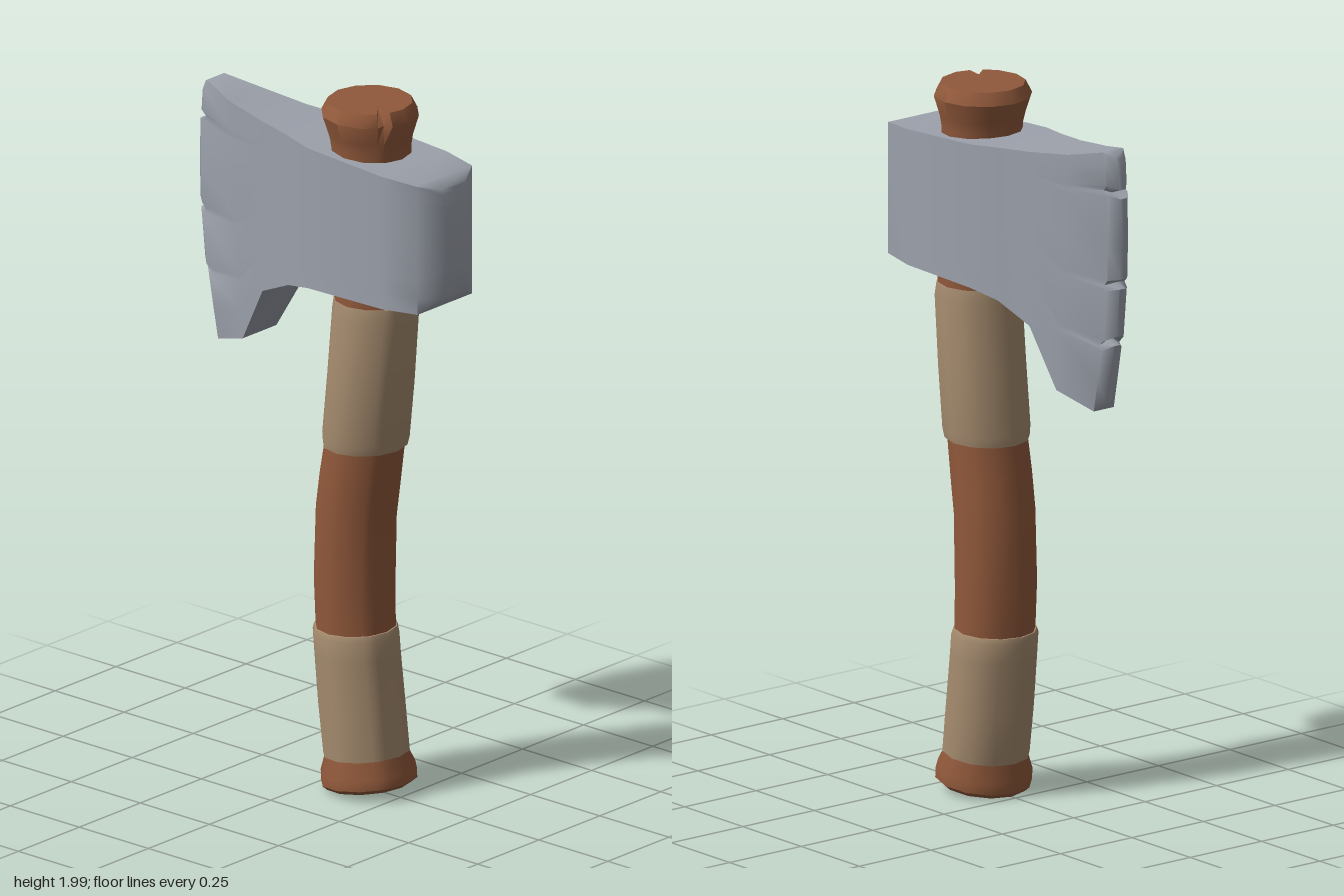
import * as THREE from 'three';
import { toCreasedNormals } from 'three/addons/utils/BufferGeometryUtils.js';

// Skin a list of closed rings (arrays of [x, y, z]) with equal point counts
function loft(rings, crease) {
  const n = rings[0].length, index = [];
  for (let r = 0; r < rings.length - 1; r++) {
    for (let j = 0; j < n; j++) {
      const a = r * n + j, b = r * n + (j + 1) % n, c = a + n, d = b + n;
      index.push(a, c, b, b, c, d);
    }
  }
  const g = new THREE.BufferGeometry();
  g.setAttribute('position', new THREE.Float32BufferAttribute(rings.flat(2), 3));
  g.setIndex(index);
  return toCreasedNormals(g, crease);
}

// Twelve-sided ring; the corner at 30 degrees is split in three so it can be notched
const ANGLES = [0, 21, 30, 39, 60, 90, 120, 150, 180, 210, 240, 270, 300, 330];
function ring([cx, cy, r, slope = 0, notch = 1]) {
  return ANGLES.map((deg) => {
    const a = THREE.MathUtils.degToRad(deg);
    let k = 1;
    if (deg === 21 || deg === 39) k = 0.98;
    if (deg === 30) k = notch;
    const dx = Math.cos(a) * r * k;
    return [cx + dx, cy + slope * dx, Math.sin(a) * r * k];
  });
}

export function createModel() {
  const wood = new THREE.MeshStandardMaterial({ color: 0x91593b });
  wood.name = 'wood';
  const wrap = new THREE.MeshStandardMaterial({ color: 0xa68c6f });
  wrap.name = 'wrap';
  const steel = new THREE.MeshStandardMaterial({ color: 0x9ca1ab });
  steel.name = 'steel';

  const group = new THREE.Group();
  const add = (name, geometry, material) => {
    const mesh = new THREE.Mesh(geometry, material);
    mesh.name = name;
    group.add(mesh);
  };

  // Curved handle: centre x, centre y, radius, slope, notch depth
  add('handle', loft([
    [0.135, 0.022, 0, 0.12],
    [0.135, 0.022, 0.118, 0.12],
    [0.137, 0.035, 0.133, 0.12],
    [0.135, 0.065, 0.133, 0.11],
    [0.128, 0.112, 0.115, 0.1],
    [0.105, 0.3, 0.111, 0.08],
    [0.088, 0.468, 0.111, 0.03],
    [0.084, 0.6, 0.113],
    [0.09, 0.8, 0.112, -0.05],
    [0.104, 0.9, 0.112, -0.06],
    [0.12, 1.0, 0.11, -0.06],
    [0.14, 1.2, 0.11, -0.05],
    [0.158, 1.44, 0.113],
    [0.15, 1.65, 0.112],
    [0.143, 1.88, 0.112],
    [0.141, 1.91, 0.118],
    [0.14, 1.965, 0.135, 0, 0.86],
    [0.14, 2.0, 0.117, 0, 0.58],
    [0.14, 2.0, 0],
  ].map(ring), 0.75), wood);

  // Grip wraps with rolled ends
  add('lowerWrap', loft([
    [0.127, 0.112, 0.106, 0.1],
    [0.127, 0.113, 0.12, 0.1],
    [0.11, 0.25, 0.121, 0.08],
    [0.094, 0.4, 0.12, 0.04],
    [0.089, 0.455, 0.12, 0.03],
    [0.088, 0.47, 0.115, 0.03],
    [0.088, 0.471, 0.104, 0.03],
  ].map(ring), 0.75), wrap);
  add('upperWrap', loft([
    [0.122, 1.0, 0.104, 0.03],
    [0.122, 1.003, 0.117, 0.03],
    [0.125, 1.03, 0.121, 0.02],
    [0.143, 1.2, 0.121],
    [0.16, 1.4, 0.12],
    [0.16, 1.435, 0.115],
    [0.16, 1.436, 0.104],
  ].map(ring), 0.75), wrap);

  // Axe head rows: height fraction, cutting-edge x, nick depth
  const rows = [
    [0, -0.405, 0], [0.12, -0.422, 0], [0.24, -0.438, 0], [0.257, -0.442, 0.035],
    [0.28, -0.447, 0], [0.475, -0.461, 0], [0.495, -0.461, 0.026], [0.515, -0.463, 0],
    [0.65, -0.466, 0], [0.84, -0.464, 0], [0.857, -0.462, 0.035], [0.875, -0.46, 0],
    [0.96, -0.456, 0], [1, -0.445, 0],
  ];
  // Head columns: x at the bottom, x at the top, bottom y, top y, half thickness
  const columns = [
    [-0.26, -0.31, 1.23, 1.905, 0.069],
    [-0.17, -0.17, 1.395, 1.886, 0.09],
    [-0.06, -0.06, 1.445, 1.877, 0.11],
    [0.03, 0.03, 1.465, 1.87, 0.133],
    [0.3, 0.3, 1.47, 1.853, 0.133],
    [0.41, 0.41, 1.475, 1.845, 0.112],
  ];
  const lerp = THREE.MathUtils.lerp;
  // One closed section: up the +z side, then down the -z side
  const section = (xAt, low, high, half) => {
    const side = rows.map((row) => [xAt(row), lerp(low, high, row[0]), half]);
    return [...side, ...side.map(([x, y, z]) => [x, y, -z]).reverse()];
  };
  const edge = ([, x, nick]) => x + nick;
  const bevel = ([, x, nick]) => x + 0.026 + nick * 0.4;
  const poll = ([t]) => 0.46 - 0.018 * Math.pow(Math.abs(2 * t - 1), 3);
  add('axeHead', loft([
    section(edge, 1.215, 1.915, 0),
    section(edge, 1.215, 1.915, 0.011),
    section(bevel, 1.19, 1.93, 0.035),
    ...columns.map(([x0, x1, low, high, half]) =>
      section(([t]) => lerp(x0, x1, t), low, high, half)),
    section(poll, 1.51, 1.825, 0.048),
    section(poll, 1.51, 1.825, 0),
  ], 0.95), steel);

  return group;
}
